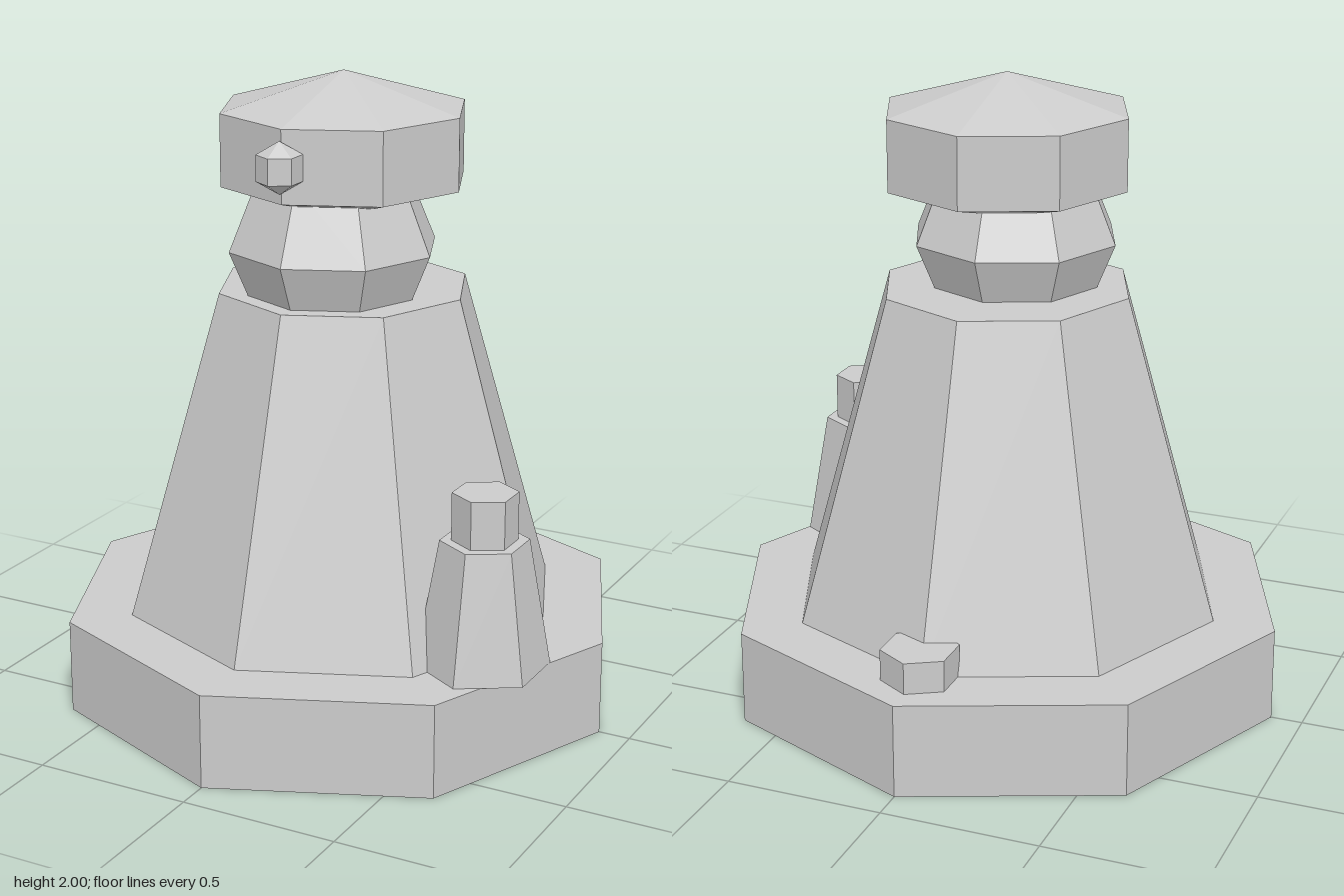
import * as THREE from 'three';

const material = new THREE.MeshStandardMaterial({ color: 0xcccccc, flatShading: true });

// Adds a named mesh at a position
function add(group, name, geometry, x, y, z) {
  const mesh = new THREE.Mesh(geometry, material);
  mesh.name = name;
  mesh.position.set(x, y, z);
  group.add(mesh);
  return mesh;
}

// Tapered prism standing between two heights
function prism(group, name, sides, rBottom, rTop, y0, y1, x = 0, z = 0) {
  const geometry = new THREE.CylinderGeometry(rTop, rBottom, y1 - y0, sides);
  return add(group, name, geometry, x, (y0 + y1) / 2, z);
}

export function createModel() {
  const model = new THREE.Group();
  model.name = 'figure';

  // Octagonal plinth and robe-like body
  prism(model, 'base', 8, 0.9, 0.9, 0, 0.3);
  prism(model, 'body', 8, 0.7, 0.4, 0.3, 1.33);

  // Head set slightly forward
  add(model, 'head', new THREE.SphereGeometry(0.33, 8, 4), 0, 1.47, 0.07);

  // Flattened cap with a small knob at the front
  const cap = add(model, 'cap', new THREE.SphereGeometry(0.45, 8, 3), 0, 1.775, 0);
  cap.scale.y = 0.5;
  const knob = add(model, 'capKnob', new THREE.SphereGeometry(0.08, 6, 3), 0, 1.775, 0.4);
  knob.rotation.y = Math.PI / 2;

  // Hexagonal bottle beside the body
  const bottle = new THREE.Group();
  bottle.name = 'bottle';
  bottle.position.set(0.635, 0, 0.305);
  prism(bottle, 'bottleBody', 6, 0.205, 0.135, 0.3, 0.7);
  prism(bottle, 'bottleNeck', 6, 0.1, 0.1, 0.7, 0.85);
  model.add(bottle);

  // Low hexagonal block behind the body
  prism(model, 'rearBlock', 6, 0.12, 0.12, 0.3, 0.4, 0, -0.7);

  return model;
}
